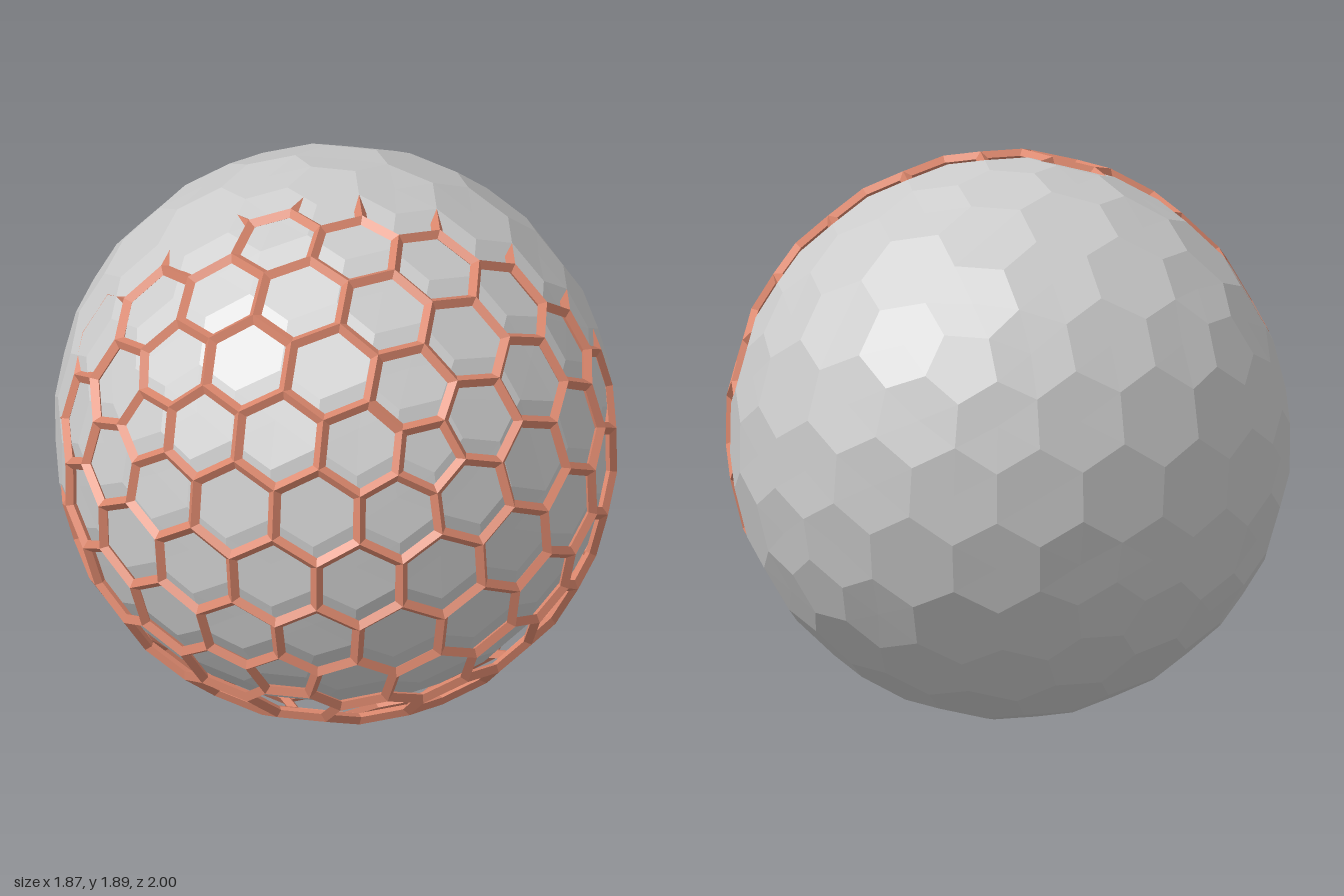
import * as THREE from 'three';

const HALF_HEIGHT = 0.945; // half height of the ball
const SHIFT = 0.068;       // cage sits forward of the ball by twice this
const BAR_WIDTH = 0.022;   // half width of a cage bar
const BAR_DEPTH = 0.019;   // half depth of a cage bar

// Cells (12 pentagons, 150 hexagons) of the dual of a subdivided icosahedron.
// Each cell is a ring of corners, counter-clockwise seen from outside.
function makeCells() {
  const ico = new THREE.IcosahedronGeometry(1, 3).toNonIndexed
    ? new THREE.IcosahedronGeometry(1, 3) : null;
  ico.rotateZ(-Math.PI / 6);
  const pos = ico.attributes.position;
  const cells = new Map();
  let top = 0;
  for (let i = 0; i < pos.count; i += 3) {
    const tri = [0, 1, 2].map(k => new THREE.Vector3().fromBufferAttribute(pos, i + k));
    const corner = new THREE.Vector3().add(tri[0]).add(tri[1]).add(tri[2]).divideScalar(3);
    top = Math.max(top, corner.y);
    for (const v of tri) {
      const key = v.toArray().map(c => Math.round(c * 1000) + 0).join();
      if (!cells.has(key)) cells.set(key, { axis: v.clone().normalize(), ring: [] });
      cells.get(key).ring.push(corner.clone());
    }
  }
  return [...cells.values()].map(({ axis, ring }) => {
    const u = ring[0].clone().cross(axis).normalize();
    const w = axis.clone().cross(u);
    const angle = p => Math.atan2(p.dot(w), p.dot(u));
    ring.sort((a, b) => angle(a) - angle(b));
    ring.forEach(p => p.multiplyScalar(HALF_HEIGHT / top));
    const center = new THREE.Vector3();
    ring.forEach(p => center.addScaledVector(p, 1 / ring.length));
    return { center, ring };
  });
}

function flatMesh(name, points, color, z) {
  const geometry = new THREE.BufferGeometry().setFromPoints(points);
  geometry.computeVertexNormals();
  const material = new THREE.MeshStandardMaterial({ color, flatShading: true });
  const mesh = new THREE.Mesh(geometry, material);
  mesh.name = name;
  mesh.position.set(0, HALF_HEIGHT, z);
  return mesh;
}

export function createModel() {
  const group = new THREE.Group();
  group.name = 'cagedBall';
  const cells = makeCells();
  const ball = [];
  const cage = [];

  for (const { center, ring } of cells) {
    const n = ring.length;
    const apothem = ring[0].clone().add(ring[1]).multiplyScalar(0.5).distanceTo(center);

    // Bar profile: outer ridge, side edge inside the cell, inner ridge
    const sink = (p, d) => p.clone().setLength(p.length() - d);
    const side = ring.map(p => sink(p.clone().lerp(center, BAR_WIDTH / apothem), BAR_DEPTH));
    const inner = ring.map(p => sink(p, 2 * BAR_DEPTH));
    const quad = (a, b, c, d) => cage.push(a, b, c, a, c, d);

    for (let i = 0; i < n; i++) {
      const j = (i + 1) % n;
      ball.push(center, ring[i], ring[j]);
      quad(ring[i], ring[j], side[j], side[i]);
      quad(side[i], side[j], inner[j], inner[i]);
    }
  }

  group.add(flatMesh('ball', ball, 0xcccccc, -SHIFT));
  group.add(flatMesh('honeycombCage', cage, 0xd9866c, SHIFT));
  return group;
}
